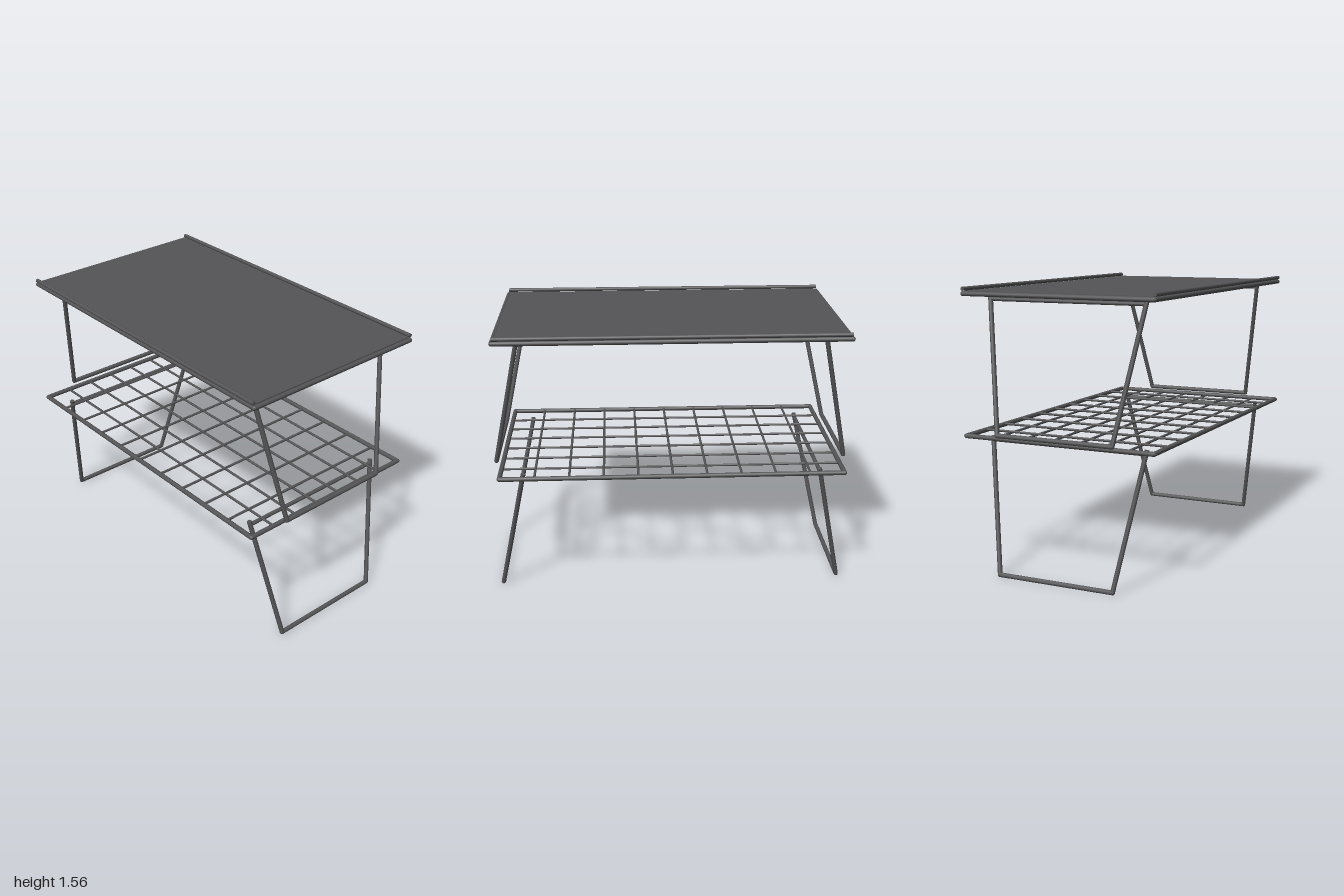
import * as THREE from 'three';

const metal = new THREE.MeshStandardMaterial({ color: 0x555557 });
metal.name = 'darkGreyMetal';

// Round rod between two points
function rod(name, a, b, radius, sides = 10) {
  const start = new THREE.Vector3(...a);
  const end = new THREE.Vector3(...b);
  const dir = end.clone().sub(start);
  const mesh = new THREE.Mesh(new THREE.CylinderGeometry(radius, radius, dir.length(), sides), metal);
  mesh.position.copy(start).add(end).multiplyScalar(0.5);
  mesh.quaternion.setFromUnitVectors(new THREE.Vector3(0, 1, 0), dir.normalize());
  mesh.name = name;
  return mesh;
}

// Ball that rounds off a bend between rods
function bend(p, radius) {
  const mesh = new THREE.Mesh(new THREE.SphereGeometry(radius, 10, 8), metal);
  mesh.position.set(...p);
  mesh.name = 'rodBend';
  return mesh;
}

const R = 0.013;
const FX = 0.952, FZ = 0.557;

// Rectangular rod frame around a shelf
function shelfFrame(y) {
  const g = new THREE.Group();
  g.name = 'shelfFrame';
  for (const s of [-1, 1]) {
    g.add(rod('longBar', [-FX, y, s * FZ], [FX, y, s * FZ], R));
    g.add(rod('shortBar', [s * FX, y, -FZ], [s * FX, y, FZ], R));
    for (const t of [-1, 1]) g.add(bend([s * FX, y, t * FZ], R));
  }
  return g;
}

// Splayed leg hoop with a foot bar and a cross bar, on one side
function legHoop(side, y) {
  const g = new THREE.Group();
  g.name = side > 0 ? 'leftLegHoop' : 'rightLegHoop';
  const foot = [0.985 * side, y + R, 0.34];
  const top = [0.83 * side, y + 0.745, 0.463];
  for (const s of [-1, 1]) {
    const f = [foot[0], foot[1], s * foot[2]];
    g.add(rod('leg', f, [top[0], top[1], s * top[2]], R));
    g.add(bend(f, R));
  }
  g.add(rod('footBar', [foot[0], foot[1], -foot[2]], [foot[0], foot[1], foot[2]], R));
  const cx = 0.834 * side, cy = y + 0.723;
  g.add(rod('crossBar', [cx, cy, -0.458], [cx, cy, 0.458], 0.011));
  return g;
}

export function createModel() {
  const model = new THREE.Group();
  model.name = 'stackedFoldingShelf';
  const lowY = 0.755, highY = 1.521;

  // Lower shelf: frame, legs and wire grid
  const lower = new THREE.Group();
  lower.name = 'lowerShelf';
  lower.add(shelfFrame(lowY), legHoop(1, 0), legHoop(-1, 0));
  const grid = new THREE.Group();
  grid.name = 'wireGrid';
  const rows = 7, columns = 10, wire = 0.007;
  for (let i = 1; i < rows; i++) {
    const z = FZ * (2 * i / rows - 1);
    grid.add(rod('longWire', [-FX, lowY - 0.005, z], [FX, lowY - 0.005, z], wire, 8));
  }
  for (let i = 1; i < columns; i++) {
    const x = FX * (2 * i / columns - 1);
    grid.add(rod('shortWire', [x, lowY + 0.003, -FZ], [x, lowY + 0.003, FZ], wire, 8));
  }
  lower.add(grid);

  // Upper shelf: frame, legs, solid top and raised rails
  const upper = new THREE.Group();
  upper.name = 'upperShelf';
  upper.add(shelfFrame(highY), legHoop(1, 0.766), legHoop(-1, 0.766));
  const panel = new THREE.Mesh(new THREE.BoxGeometry(1.885, 0.016, 1.1), metal);
  panel.position.y = 1.528;
  panel.name = 'topPanel';
  upper.add(panel);
  for (const s of [-1, 1]) {
    upper.add(rod('edgeRail', [-0.952, 1.546, s * 0.56], [0.952, 1.546, s * 0.56], 0.011));
  }

  model.add(lower, upper);
  return model;
}
